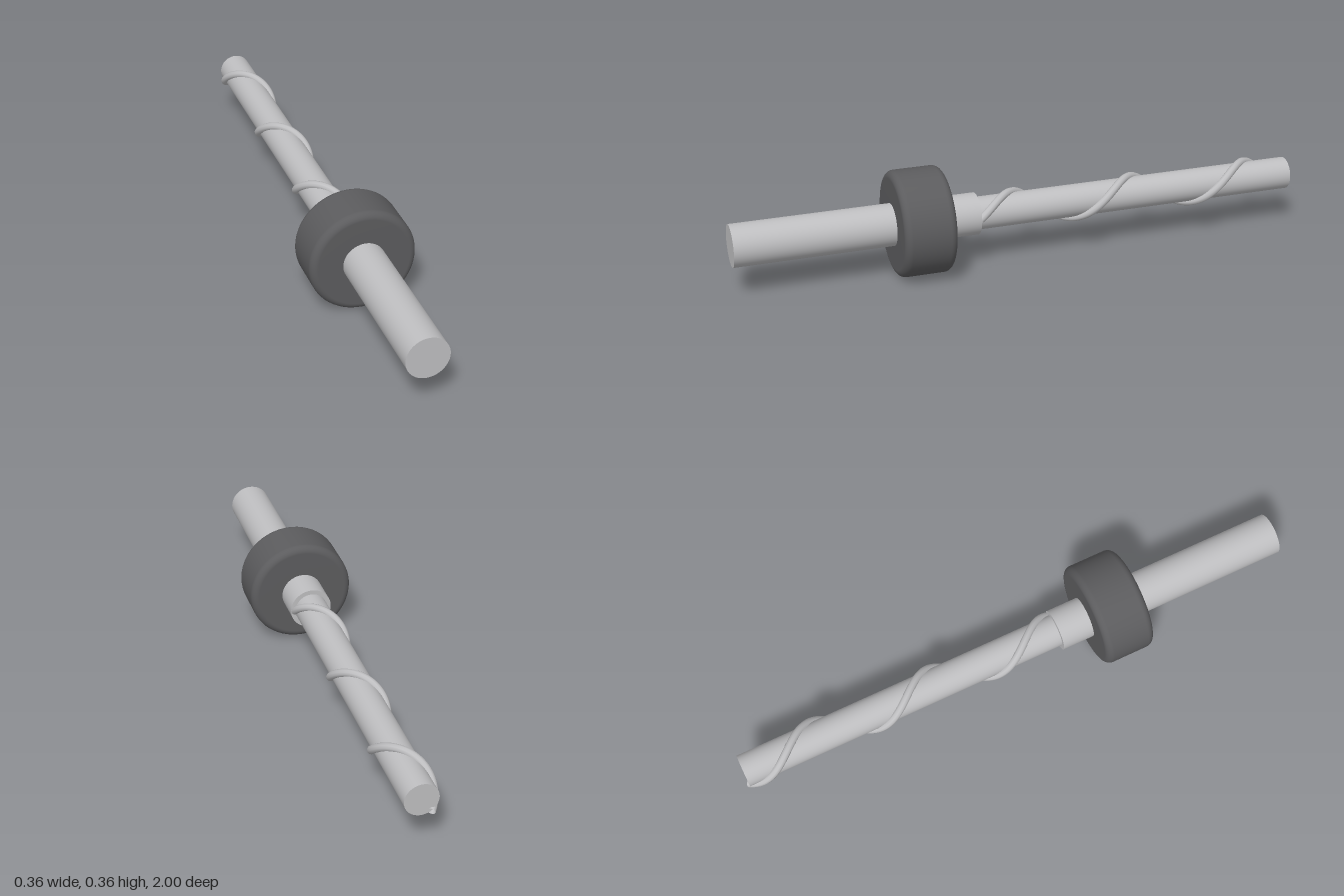
import * as THREE from 'three';

const AXIS_Y = 0.181;

export function createModel() {
  const group = new THREE.Group();
  const steel = new THREE.MeshStandardMaterial({ color: 0xbebec0, side: THREE.DoubleSide });
  steel.name = 'steel';
  const rubber = new THREE.MeshStandardMaterial({ color: 0x5c5c5e });
  rubber.name = 'darkCollar';

  const add = (name, geometry, material) => {
    const mesh = new THREE.Mesh(geometry, material);
    mesh.name = name;
    mesh.position.y = AXIS_Y;
    group.add(mesh);
  };
  // Round bar lying along z between two ends
  const bar = (radius, z0, z1) =>
    new THREE.CylinderGeometry(radius, radius, z1 - z0, 48).rotateX(Math.PI / 2).translate(0, 0, (z0 + z1) / 2);

  add('shank', bar(0.072, 0.165, 1), steel);
  add('drillShaft', bar(0.056, -0.99, 0.17), steel);

  // Stop collar with rounded rims
  const R = 0.181, half = 0.09, fillet = 0.025;
  const profile = [new THREE.Vector2(0.06, -half)];
  for (const [cy, start] of [[-half + fillet, -Math.PI / 2], [half - fillet, 0]]) {
    for (let i = 0; i <= 6; i++) {
      const a = start + (i / 6) * Math.PI / 2;
      profile.push(new THREE.Vector2(R - fillet + fillet * Math.cos(a), cy + fillet * Math.sin(a)));
    }
  }
  profile.push(new THREE.Vector2(0.06, half));
  add('stopCollar', new THREE.LatheGeometry(profile, 64).rotateX(Math.PI / 2).translate(0, 0, 0.368), rubber);

  // Raised spiral wound around the shaft
  class Helix extends THREE.Curve {
    getPoint(t, target = new THREE.Vector3()) {
      const a = t * 2.66 * Math.PI * 2;
      return target.set(0.058 * Math.cos(a), 0.058 * Math.sin(a), 0.165 - 1.155 * t);
    }
  }
  add('spiralRidge', new THREE.TubeGeometry(new Helix(), 160, 0.014, 10), steel);

  return group;
}
